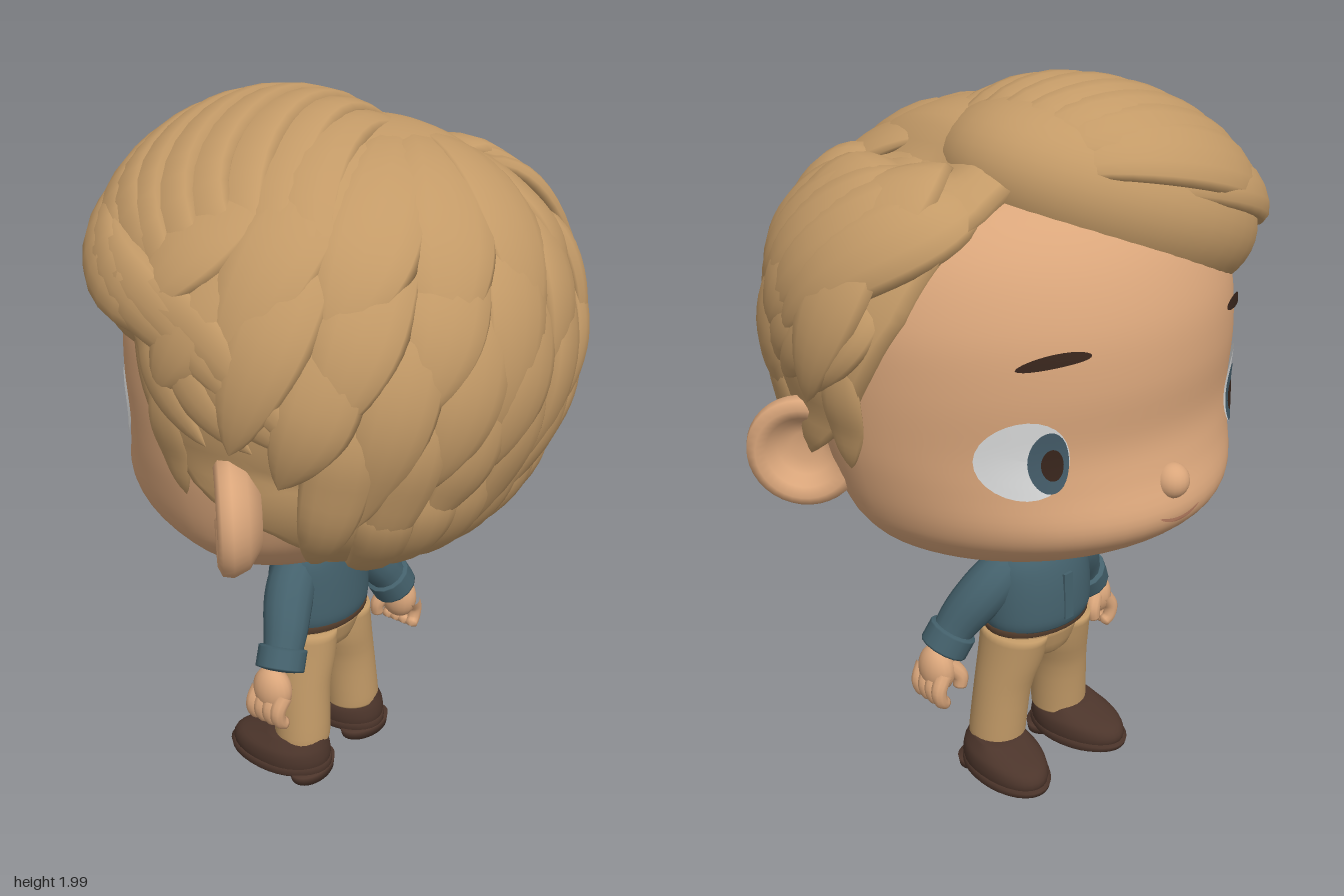
import * as THREE from 'three';

const mat = (name, color, side = THREE.FrontSide) => {
  const m = new THREE.MeshStandardMaterial({ color, side });
  m.name = name;
  return m;
};
const V = (x, y, z) => new THREE.Vector3(x, y, z);

// Surface through closed rings of points
function skin(rings) {
  const n = rings[0].length, pos = [], idx = [];
  rings.forEach(r => r.forEach(p => pos.push(p.x, p.y, p.z)));
  for (let i = 0; i < rings.length - 1; i++) for (let j = 0; j < n; j++) {
    const a = i * n + j, b = i * n + (j + 1) % n;
    idx.push(a, a + n, b, b, a + n, b + n);
  }
  const g = new THREE.BufferGeometry();
  g.setAttribute('position', new THREE.Float32BufferAttribute(pos, 3));
  g.setIndex(idx);
  g.computeVertexNormals();
  return g;
}

// Rows are [y, frontX, backX, halfWidth, centreZ]
function smoothRows(rows, steps = 5) {
  const out = [];
  for (let i = 0; i < rows.length - 1; i++) for (let s = 0; s < steps; s++) {
    const t = s / steps, a = rows[Math.max(i - 1, 0)], b = rows[i], c = rows[i + 1], d = rows[Math.min(i + 2, rows.length - 1)];
    out.push(b.map((_, k) => 0.5 * (2 * b[k] + (c[k] - a[k]) * t + (2 * a[k] - 5 * b[k] + 4 * c[k] - d[k]) * t * t + (3 * b[k] - a[k] - 3 * c[k] + d[k]) * t * t * t)));
  }
  out.push(rows[rows.length - 1]);
  return out;
}
function loft(rows, xm, n = 32, frontPower = 1) {
  const ring = ([y, xf, xb, w, cz = 0], k = 1) => Array.from({ length: n }, (_, j) => {
    const a = j / n * Math.PI * 2, m = xm ?? (xf + xb) / 2, c = Math.cos(a);
    const dx = c > 0 ? c * (xb - m) : -Math.pow(-c, frontPower) * (m - xf);
    return V(m + k * dx, y, cz + k * w * Math.sin(a));
  });
  return skin([ring(rows[0], 0.001), ...rows.map(r => ring(r)), ring(rows[rows.length - 1], 0.001)]);
}

// Tapered tube along a curve
function limb(points, radius, n = 14) {
  const curve = new THREE.CatmullRomCurve3(points), rings = [];
  for (let i = 0; i <= 14; i++) {
    const t = i / 14, p = curve.getPoint(t), T = curve.getTangent(t);
    const N = V(1, 0, 0).addScaledVector(T, -T.x).normalize(), B = T.clone().cross(N), r = radius(t);
    rings.push(Array.from({ length: n }, (_, j) => {
      const a = j / n * Math.PI * 2;
      return p.clone().addScaledVector(B, r * Math.cos(a)).addScaledVector(N, r * Math.sin(a));
    }));
  }
  return skin(rings);
}

// Head shape, face towards -x
const XM = -0.05, FACE_POWER = 1.15;
const headRows = smoothRows([
  [0.79, -0.12, 0.06, 0.08], [0.81, -0.28, 0.14, 0.31], [0.86, -0.45, 0.22, 0.44], [0.93, -0.562, 0.29, 0.515],
  [1.0, -0.6, 0.35, 0.55], [1.1, -0.568, 0.41, 0.575], [1.2, -0.548, 0.45, 0.588], [1.35, -0.558, 0.48, 0.592],
  [1.5, -0.54, 0.48, 0.575], [1.65, -0.47, 0.4, 0.5], [1.75, -0.35, 0.26, 0.36], [1.81, -0.12, 0.05, 0.1]]);
function faceX(y, z) {
  const i = Math.max(1, headRows.findIndex(r => r[0] >= y)), a = headRows[i - 1], b = headRows[i];
  const t = (y - a[0]) / (b[0] - a[0]), xf = a[1] + (b[1] - a[1]) * t, w = a[3] + (b[3] - a[3]) * t;
  return XM - (XM - xf) * Math.pow(Math.max(0, 1 - (z / w) ** 2), FACE_POWER / 2);
}
// Thin oval following the face
function patch(cy, cz, ry, rz, off, slope = 0, bow = 0) {
  const rings = [];
  for (let i = 0; i <= 6; i++) rings.push(Array.from({ length: 28 }, (_, j) => {
    const a = j / 28 * Math.PI * 2, r = Math.max(i / 6, 0.001), u = r * Math.cos(a);
    const z = cz + rz * u, y = cy + ry * r * Math.sin(a) + slope * u + bow * u * u;
    return V(faceX(y, z) - off, y, z);
  }));
  return skin(rings);
}

// Hair volumes: skull, nape and swept fringe
const C0 = V(0.03, 1.4, 0), TILT = 0.38;
const volumes = [
  { c: V(0.035, 1.38, 0), r: V(0.545, 0.54, 0.63), a: 0 },
  { c: V(0.05, 1.2, 0), r: V(0.465, 0.4, 0.605), a: 0 },
  { c: V(-0.14, 1.67, 0.16), r: V(0.38, 0.25, 0.465), a: TILT }];
const XAX = V(1, 0, 0);
function hairPoint(dir, count) {
  let best = 0;
  for (const { c, r, a } of volumes.slice(0, count)) {
    const o = C0.clone().sub(c).applyAxisAngle(XAX, -a).divide(r), d = dir.clone().applyAxisAngle(XAX, -a).divide(r);
    const A = d.dot(d), B = o.dot(d), D = B * B - A * (o.dot(o) - 1);
    if (D > 0) best = Math.max(best, (-B + Math.sqrt(D)) / A);
  }
  const p = C0.clone().addScaledVector(dir, best);
  // Groove of the parting
  p.y -= 0.08 * Math.exp(-(((p.z + 0.29) / 0.06) ** 2)) * THREE.MathUtils.smoothstep(p.y, 1.6, 1.75) * THREE.MathUtils.smoothstep(p.x, -0.2, 0);
  return p;
}
// Pointed flat lock lying on the hair volumes
function lock(points, width, thick, lift = 0) {
  const M = 18, curve = new THREE.CatmullRomCurve3(points);
  let ps = Array.from({ length: M + 1 }, (_, i) => hairPoint(curve.getPoint(i / M).sub(C0).normalize(), 3));
  for (let k = 0; k < 2; k++) ps = ps.map((p, i) => i && i < M ? p.clone().multiplyScalar(2).add(ps[i - 1]).add(ps[i + 1]).multiplyScalar(0.25) : p);
  return skin(ps.map((p, i) => {
    const t = i / M, T = ps[Math.min(i + 1, M)].clone().sub(ps[Math.max(i - 1, 0)]).normalize();
    const N = p.clone().sub(C0).normalize();
    N.addScaledVector(T, -N.dot(T)).normalize();
    const B = T.clone().cross(N), e = Math.max(0.01, Math.pow(Math.sin(Math.PI * (0.04 + 0.96 * t)), 0.75));
    const c = p.clone().addScaledVector(N, lift * t - thick * (1 - t) ** 4);
    return Array.from({ length: 12 }, (_, j) => {
      const a = j / 12 * Math.PI * 2;
      return c.clone().addScaledVector(B, width * e * Math.cos(a)).addScaledVector(N, thick * e * Math.sin(a));
    });
  }));
}

export function createModel() {
  const root = new THREE.Group();
  root.name = 'figure';
  const D = THREE.DoubleSide;
  const skinM = mat('skin', 0xdaa67b), hairM = mat('hair', 0xc39a67, D), shirtM = mat('shirt', 0x44616c), pantsM = mat('trousers', 0xc29a67);
  const shoeM = mat('shoe', 0x4c352b), beltM = mat('belt', 0x503a2a), whiteM = mat('eyeWhite', 0xdcdddd, D), irisM = mat('iris', 0x445c69, D);
  const darkM = mat('browAndPupil', 0x38251c, D), lipM = mat('lip', 0xb97f62, D);
  const add = (name, geo, m, parent = root) => {
    const o = new THREE.Mesh(geo, m);
    o.name = name;
    parent.add(o);
    return o;
  };

  // Head and face
  add('head', loft(headRows, XM, 64, FACE_POWER), skinM);
  const nose = add('nose', new THREE.SphereGeometry(0.046, 20, 14), skinM);
  nose.position.set(-0.567, 1.075, 0);
  add('mouth', patch(0.985, 0, 0.006, 0.07, 0.005, 0, 0.018), lipM);
  add('neck', new THREE.CylinderGeometry(0.075, 0.075, 0.1, 20), skinM).position.set(-0.085, 0.78, 0);

  for (const s of [1, -1]) {
    const side = s > 0 ? 'left' : 'right';
    add(side + 'EyeWhite', patch(1.195, s * 0.365, 0.1, 0.09, 0.009), whiteM);
    add(side + 'Iris', patch(1.19, s * 0.322, 0.078, 0.042, 0.014), irisM);
    add(side + 'Pupil', patch(1.185, s * 0.317, 0.04, 0.023, 0.018), darkM);
    add(side + 'Brow', patch(1.443, s * 0.312, 0.016, 0.077, 0.014, -0.012 * s, -0.006), darkM);

    // Cupped ear
    const prof = [[0, -0.065], [0.08, -0.06], [0.13, -0.028], [0.148, 0.01], [0.143, 0.036], [0.12, 0.047], [0.095, 0.035], [0.072, 0.005], [0.04, -0.008], [0, -0.008]];
    const ear = add(side + 'Ear', new THREE.LatheGeometry(prof.map(p => new THREE.Vector2(...p)), 36), skinM);
    ear.position.set(0.125, 1.11, s * 0.595);
    ear.quaternion.setFromUnitVectors(V(0, 1, 0), V(-0.72, 0, s * 0.69).normalize());

    // Sleeve, cuff and hand
    const sleeve = [V(-0.085, 0.7, s * 0.05), V(-0.08, 0.655, s * 0.12), V(-0.06, 0.6, s * 0.175), V(-0.03, 0.53, s * 0.228), V(-0.01, 0.455, s * 0.275)];
    add(side + 'Sleeve', limb(sleeve, t => (t === 0 ? 0.02 : 0.056 + 0.014 * Math.sin(Math.PI * Math.min(1, t * 1.15)))), shirtM);
    add(side + 'Cuff', limb([V(-0.022, 0.5, s * 0.248), V(-0.016, 0.47, s * 0.265), V(-0.01, 0.44, s * 0.282)], t => (t === 0 || t === 1 ? 0.045 : 0.069)), shirtM);
    const palm = add(side + 'Palm', new THREE.SphereGeometry(1, 18, 14), skinM);
    palm.scale.set(0.06, 0.07, 0.046);
    palm.position.set(-0.015, 0.392, s * 0.308);
    for (let i = 0; i < 4; i++) {
      const x = -0.055 + i * 0.029;
      add(side + 'Finger', limb([V(x, 0.39, s * 0.315), V(x - 0.005, 0.35, s * 0.338), V(x - 0.005, 0.315, s * 0.332), V(x, 0.295, s * 0.308)], t => (t === 1 ? 0.003 : 0.024 - 0.006 * t), 10), skinM);
    }
    add(side + 'Thumb', limb([V(-0.04, 0.41, s * 0.29), V(-0.06, 0.37, s * 0.262), V(-0.062, 0.33, s * 0.265)], t => (t === 1 ? 0.003 : 0.026 - 0.007 * t), 10), skinM);

    // Leg and shoe
    add(side + 'Leg', loft(smoothRows([[0.11, -0.14, 0.022, 0.08, s * 0.122], [0.14, -0.142, 0.024, 0.082, s * 0.122], [0.28, -0.155, 0.018, 0.08, s * 0.11],
      [0.38, -0.18, 0.022, 0.087, s * 0.089], [0.47, -0.2, 0.024, 0.084, s * 0.08]], 3)), pantsM);
    const shoe = new THREE.Group();
    shoe.name = side + 'Shoe';
    shoe.position.z = s * 0.13;
    shoe.rotation.y = s * 0.12;
    root.add(shoe);
    add('upper', loft(smoothRows([[0.03, -0.27, 0.03, 0.095], [0.06, -0.283, 0.036, 0.1], [0.09, -0.265, 0.033, 0.097], [0.11, -0.21, 0.028, 0.085], [0.13, -0.14, 0.022, 0.07]], 3), -0.1), shoeM, shoe);
    add('sole', loft([[0.022, -0.27, 0.036, 0.098], [0.03, -0.287, 0.04, 0.104], [0.046, -0.292, 0.04, 0.104], [0.05, -0.278, 0.036, 0.098]], -0.11), shoeM, shoe);
    add('heel', loft([[0, -0.07, 0.038, 0.085], [0.03, -0.075, 0.04, 0.092]]), shoeM, shoe);
  }

  // Torso, collar, belt and hips
  add('shirt', loft(smoothRows([[0.495, -0.212, 0.035, 0.165], [0.53, -0.22, 0.042, 0.172], [0.62, -0.215, 0.04, 0.168], [0.69, -0.2, 0.035, 0.155], [0.74, -0.175, 0.03, 0.115], [0.765, -0.155, 0.018, 0.08]])), shirtM);
  const collar = add('collar', loft(smoothRows([[-0.035, -0.105, 0.105, 0.115], [-0.02, -0.105, 0.106, 0.11], [0.025, -0.09, 0.094, 0.088]], 3)), shirtM);
  collar.position.set(-0.072, 0.76, 0);
  collar.rotation.z = 0.1;
  const placket = add('placket', new THREE.BoxGeometry(0.009, 0.14, 0.03), shirtM);
  placket.position.set(-0.217, 0.59, 0);
  placket.rotation.z = -0.04;
  add('belt', loft([[0.478, -0.206, 0.032, 0.165], [0.482, -0.211, 0.036, 0.168], [0.5, -0.211, 0.036, 0.168]]), beltM);
  add('hips', loft(smoothRows([[0.37, -0.14, -0.04, 0.04], [0.4, -0.18, 0.004, 0.1], [0.485, -0.205, 0.03, 0.164]], 3)), pantsM);

  // Hair cap: [angle from top, hairline reach] in degrees
  const line = [[0, 125], [45, 122], [78, 114], [92, 107], [104, 100], [111, 92], [122, 76], [132, 71], [150, 74], [180, 81]];
  const reach = a => {
    const i = Math.max(1, line.findIndex(p => p[0] >= a)), [a0, l0] = line[i - 1], [a1, l1] = line[i];
    return l0 + (l1 - l0) * (a - a0) / (a1 - a0);
  };
  const capRings = [];
  for (let i = 0; i <= 41; i++) capRings.push(Array.from({ length: 120 }, (_, j) => {
    const deg = j * 3, L = reach(deg > 180 ? 360 - deg : deg), th = THREE.MathUtils.degToRad(L * Math.max(0.0005, Math.min(i, 40) / 40));
    const al = THREE.MathUtils.degToRad(deg), d = V(Math.cos(th), Math.sin(th) * Math.cos(al), Math.sin(th) * Math.sin(al));
    return hairPoint(d, 2).sub(C0).multiplyScalar(i === 41 ? 0.92 : 1.01).add(C0);
  }));
  add('hairCap', skin(capRings), hairM);
  const fringe = add('fringeVolume', new THREE.SphereGeometry(1, 40, 28), hairM);
  fringe.scale.copy(volumes[2].r);
  fringe.position.copy(volumes[2].c);
  fringe.rotation.x = TILT;

  const hair = new THREE.Group();
  hair.name = 'hairLocks';
  root.add(hair);
  const strand = (pts, w, t, l) => add('lock', lock(pts, w, t, l), hairM, hair);

  // Layered locks round the back: [tip height, start height, spread, count, width]
  const whorl = V(0.06, 1.9, -0.25);
  [[0.86, 1.22, 46, 8, 0.075], [0.99, 1.4, 58, 8, 0.085], [1.15, 1.62, 62, 8, 0.1], [1.33, 1.78, 94, 10, 0.11], [1.5, 1.92, 100, 9, 0.125]].forEach(([yt, ys, spread, n, w], k) => {
    for (let i = 0; i < n; i++) {
      const f = THREE.MathUtils.degToRad(-spread + 2 * spread * i / (n - 1)), wob = (k ? 0.06 : 0.025) * Math.sin(i * 2.4 + k * 1.7);
      const at = (y, turn) => {
        const h = Math.sqrt(Math.max(0.04, 1 - ((y - 1.38) / 0.56) ** 2));
        return V(0.03 + 0.55 * h * Math.cos(f + turn), y, 0.62 * h * Math.sin(f + turn));
      };
      const start = at(ys, -0.1).lerp(whorl, k * 0.18);
      strand([start, at((ys + yt) / 2 + 0.03, -0.07), at(yt + wob, 0.1)], w, 0.036, 0.018);
    }
  });

  // Fringe swept from the parting over to the left and back
  for (let i = 0; i < 8; i++) {
    const t = i / 7;
    strand([V(-0.36 + 0.44 * t, 1.9, -0.24), V(-0.48 + 0.52 * t, 1.9, 0.06), V(-0.42 + 0.6 * t, 1.76, 0.4), V(-0.04 + 0.4 * t, 1.56 + 0.06 * t + 0.05 * Math.sin(i * 2), 0.59)], 0.1, 0.036, 0.012);
  }
  // Lower side strands trailing to above the ear
  for (let i = 0; i < 4; i++)
    strand([V(-0.48 + 0.03 * i, 1.84 - 0.06 * i, -0.1 + 0.12 * i), V(-0.44 + 0.08 * i, 1.72 - 0.04 * i, 0.32 + 0.05 * i), V(-0.22 + 0.1 * i, 1.58 - 0.02 * i, 0.54), V(0.1 + 0.09 * i, 1.52 - 0.08 * i, 0.62)], 0.08, 0.038, 0.016);

  // Right side combed back from the parting
  for (let i = 0; i < 5; i++) {
    const t = i / 4;
    strand([V(-0.22 + 0.28 * t, 1.8, -0.3), V(-0.19 + 0.36 * t, 1.74, -0.45), V(-0.02 + 0.38 * t, 1.6, -0.58), V(0.14 + 0.34 * t, 1.42 + 0.04 * t, -0.6)], 0.11, 0.046, 0.016);
  }
  // Temple locks and pointed sideburns
  for (const s of [1, -1]) {
    for (let i = 0; i < 3; i++)
      strand([V(-0.16 + 0.1 * i, 1.58, s * 0.56), V(-0.08 + 0.1 * i, 1.45, s * 0.6), V(0.07 + 0.12 * i, 1.29, s * 0.6)], 0.065, 0.025, 0.008);
    strand([V(-0.07, 1.45, s * 0.6), V(-0.06, 1.28, s * 0.6), V(-0.045, 1.1, s * 0.59)], 0.065, 0.018, 0.002);
  }

  return root;
}
